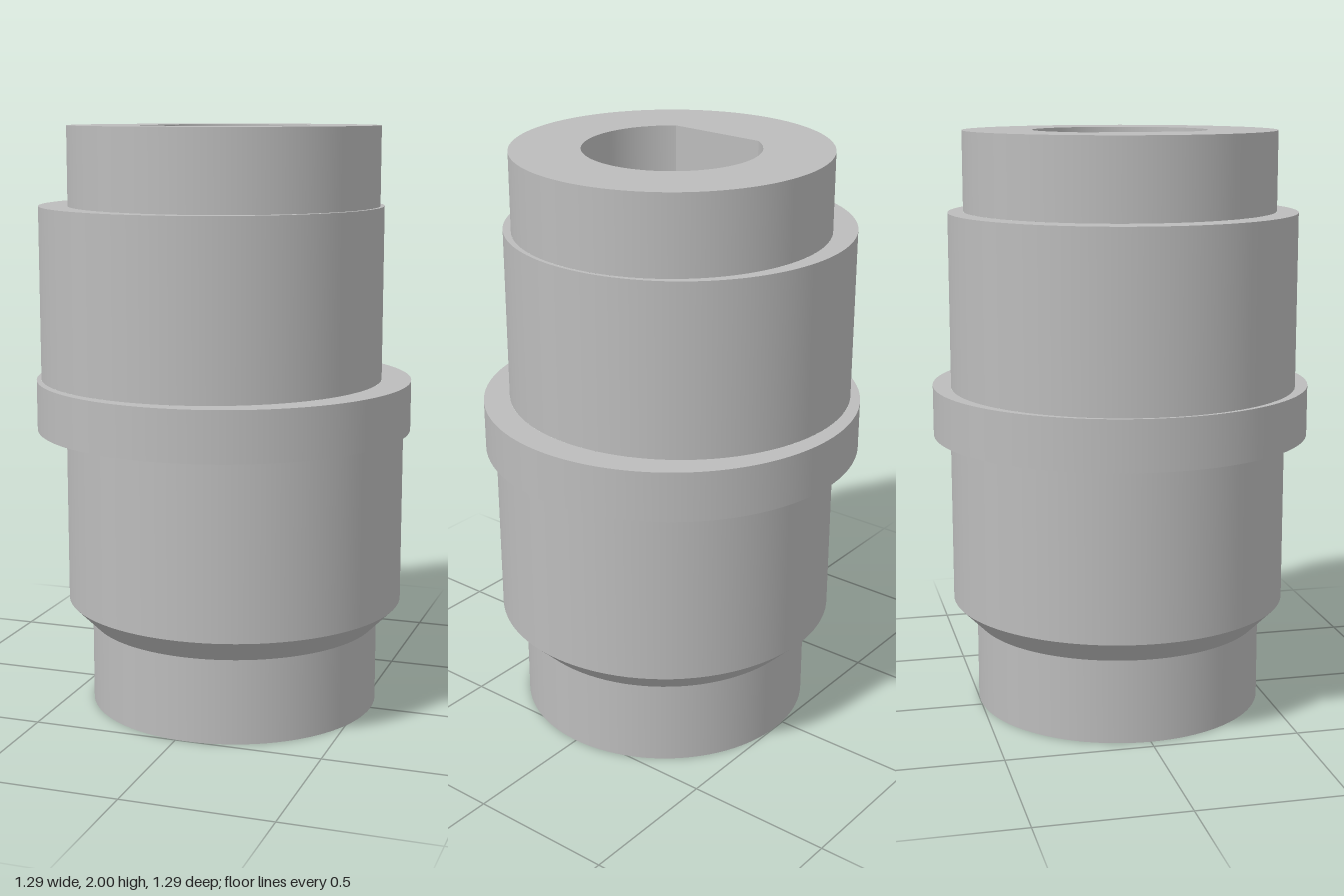
import * as THREE from 'three';

const SEG = 96;
const BORE_R = 0.295, FLAT_X = 0.24, FLAT_Y = 0.97, TOP = 2;
const HALF = Math.acos(FLAT_X / BORE_R); // half the angle cut off by the flat

// Stacked eccentric tiers, bottom to top: centre x, lower/upper radius, lower/upper y
const tiers = [
  { name: 'lowerSpigot', cx: 0.04, r0: 0.5, r1: 0.5, y0: 0, y1: 0.29 },
  { name: 'chamfer', cx: 0.04, r0: 0.5, r1: 0.582, y0: 0.29, y1: 0.372 },
  { name: 'lowerBody', cx: 0.04, r0: 0.582, r1: 0.582, y0: 0.372, y1: 0.97 },
  { name: 'flange', cx: 0, r0: 0.645, r1: 0.645, y0: 0.97, y1: 1.142 },
  { name: 'upperBody', cx: -0.045, r0: 0.588, r1: 0.588, y0: 1.142, y1: 1.732 },
  { name: 'upperSpigot', cx: 0, r0: 0.53, r1: 0.53, y0: 1.732, y1: TOP },
];

const circle = (cx, r) => new THREE.Shape().absarc(cx, 0, r, 0, Math.PI * 2);
const boreD = () => new THREE.Shape().absarc(0, 0, BORE_R, -Math.PI + HALF, Math.PI - HALF);

// Wall of revolution: faces outward when drawn upward, inward when drawn downward
function wall(r0, y0, r1, y1, start = 0, length = Math.PI * 2) {
  const profile = [new THREE.Vector2(r0, y0), new THREE.Vector2(r1, y1)];
  return new THREE.LatheGeometry(profile, SEG, start, length);
}

// Level face with an optional hole, looking up (dir 1) or down (dir -1)
function face(outline, hole, y, dir) {
  if (hole) outline.holes.push(hole);
  return new THREE.ShapeGeometry(outline, SEG).rotateX(-dir * Math.PI / 2).translate(0, y, 0);
}

export function createModel() {
  const model = new THREE.Group();
  model.name = 'eccentricBushing';
  const steel = new THREE.MeshStandardMaterial({ color: 0xbcbcbc });
  steel.name = 'steel grey';

  const add = (name, geometry, x = 0) => {
    const mesh = new THREE.Mesh(geometry, steel);
    mesh.name = name;
    mesh.position.x = x;
    model.add(mesh);
  };

  // Outer walls
  for (const t of tiers) add(t.name, wall(t.r0, t.y0, t.r1, t.y1), t.cx);

  // Shoulders between tiers
  const [, , lower, flange, upper, spigot] = tiers;
  add('flangeUnderside', face(circle(flange.cx, flange.r0), circle(lower.cx, lower.r1), flange.y0, -1));
  add('flangeShoulder', face(circle(flange.cx, flange.r1), circle(upper.cx, upper.r0), flange.y1, 1));
  add('upperShoulder', face(circle(upper.cx, upper.r1), circle(spigot.cx, spigot.r0), upper.y1, 1));

  // End faces: D-shaped opening above, round opening below
  add('topFace', face(circle(0, spigot.r1), boreD(), TOP, 1));
  add('bottomFace', face(circle(tiers[0].cx, tiers[0].r0), circle(0, BORE_R), 0, -1));

  // Bore: round below, with a driving flat on the -x side above
  add('roundBore', wall(BORE_R, FLAT_Y, BORE_R, 0));
  add('keyedBore', wall(BORE_R, TOP, BORE_R, FLAT_Y, Math.PI * 1.5 + HALF, 2 * (Math.PI - HALF)));
  const flat = new THREE.PlaneGeometry(2 * BORE_R * Math.sin(HALF), TOP - FLAT_Y);
  flat.rotateY(Math.PI / 2).translate(-FLAT_X, (TOP + FLAT_Y) / 2, 0);
  add('boreFlat', flat);
  const segment = new THREE.Shape().absarc(0, 0, BORE_R, Math.PI - HALF, Math.PI + HALF);
  add('flatLedge', face(segment, null, FLAT_Y, -1));

  return model;
}
